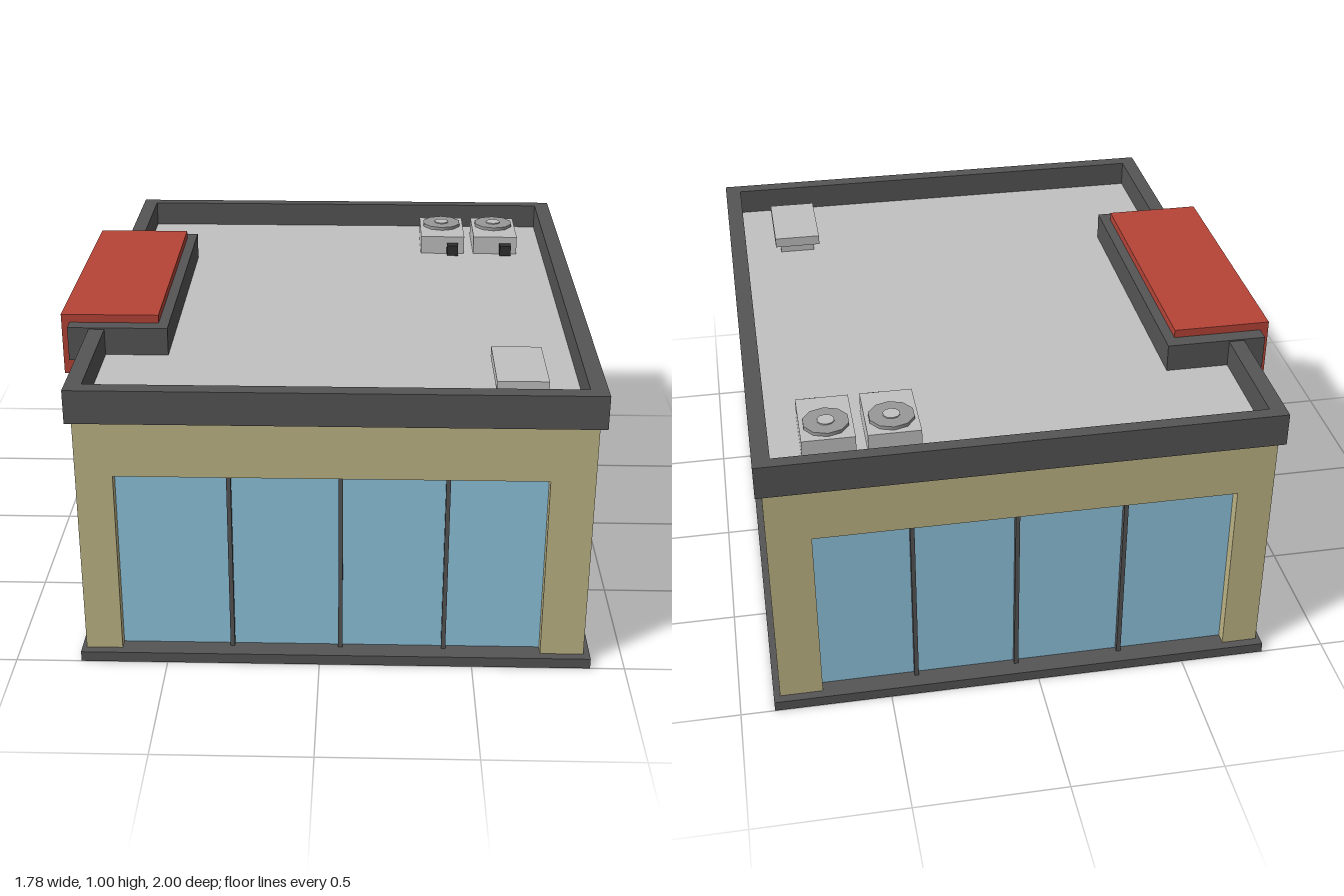
import * as THREE from 'three';

const mat = (name, color) => {
  const m = new THREE.MeshStandardMaterial({ color });
  m.name = name;
  return m;
};

export function createModel() {
  const tan = mat('tan wall', 0xbfb586);
  const dark = mat('dark trim', 0x555555);
  const glass = mat('blue glass', 0x8ec5df);
  const red = mat('red sign', 0xb64437);
  const grey = mat('roof grey', 0xc1c1c1);
  const midGrey = mat('fan grey', 0x989898);
  const white = mat('sign panel white', 0xe4e4e4);
  const black = mat('black fittings', 0x2f2f2f);

  const model = new THREE.Group();
  model.name = 'shopBuilding';

  // Box given by its extents on each axis
  const box = (name, m, x0, x1, y0, y1, z0, z1, parent = model) => {
    const mesh = new THREE.Mesh(new THREE.BoxGeometry(x1 - x0, y1 - y0, z1 - z0), m);
    mesh.position.set((x0 + x1) / 2, (y0 + y1) / 2, (z0 + z1) / 2);
    mesh.name = name;
    parent.add(mesh);
    return mesh;
  };

  // Floor slab
  const floorY = 0.035, headY = 0.668, wallTop = 0.88;
  box('floorSlab', dark, -0.785, 0.888, 0, floorY, -1, 1);

  // Corner pillars
  const X0 = -0.77, X1 = 0.867, Z0 = -0.97, Z1 = 0.97;
  const wx0 = -0.651, wx1 = 0.725, wz0 = -0.89, wz1 = 0.875;
  for (const [a, b] of [[X0, wx0], [wx1, X1]])
    for (const [c, d] of [[Z0, wz0], [wz1, Z1]])
      box('cornerPillar', tan, a, b, floorY, headY, c, d);

  // Lintels above the openings
  box('frontLintel', tan, X0, X1, headY, wallTop, wz1, Z1);
  box('backLintel', tan, X0, X1, headY, wallTop, Z0, wz0);
  box('leftLintel', tan, wx1, X1, headY, wallTop, wz0, wz1);
  box('rightLintel', tan, X0, wx0, headY, wallTop, wz0, wz1);

  // Front and back windows, set back in their openings
  const inset = 0.045, proud = 0.025, t = 0.007;
  for (const [name, face, s] of [['front', Z1, 1], ['back', Z0, -1]]) {
    const z = face - s * inset, pz = z + s * proud;
    box(name + 'Glass', glass, wx0, wx1, floorY, headY, z - 0.005, z + 0.005);
    for (const x of [-0.288, 0.068, 0.408])
      box(name + 'Mullion', dark, x - t, x + t, floorY, headY, Math.min(z, pz), Math.max(z, pz));
  }

  // Left side window
  const lx = X1 - inset;
  box('leftGlass', glass, lx - 0.005, lx + 0.005, floorY, headY, wz0, wz1);
  for (const z of [0.535, 0.005, -0.54])
    box('leftMullion', dark, lx, lx + proud, floorY, headY, z - t, z + t);

  // Right side: window towards the back, recessed entrance towards the front
  const rx = X0 + inset;
  box('rightGlass', glass, rx - 0.005, rx + 0.005, floorY, headY, wz0, -0.2);
  for (const z of [-0.555, -0.2])
    box('rightMullion', dark, rx - proud, rx, floorY, headY, z - t, z + t);
  box('entranceWall', tan, wx0, wx0 + 0.02, floorY, headY, -0.2, wz1);
  for (const z of [-0.135, 0.175, 0.52])
    box('entranceFin', dark, X0 + 0.005, wx0, floorY, headY, z - 0.01, z + 0.01);
  box('doorHandle', dark, X0, X0 + 0.02, 0.3, 0.41, -0.155, -0.115);

  // Roof deck
  box('roofDeck', grey, -0.74, 0.84, 0.86, 0.881, -0.955, 0.945);

  // Parapet, open underneath where it overhangs the walls
  const px0 = -0.788, px1 = 0.888, pz = 0.994;
  for (const [name, a, b, c, d] of [
    ['backParapet', px0, px1, -pz, -0.95], ['frontParapet', px0, px1, 0.942, pz],
    ['rightParapet', px0, -0.735, -0.95, 0.942], ['leftParapet', 0.832, px1, -0.95, 0.942]]) {
    const geo = box(name, dark, a, b, 0.86, 0.972, c, d).geometry;
    const faces = Array.from(geo.index.array);
    faces.splice(18, 6);
    geo.setIndex(faces);
    geo.clearGroups();
  }

  // Sign over the entrance
  const sign = new THREE.Group();
  sign.name = 'entranceSign';
  model.add(sign);
  const s0 = -0.477, s1 = 0.433;
  box('signMount', dark, -0.86, -0.523, 0.86, 0.977, -0.528, 0.483, sign);
  box('signTop', red, -0.888, -0.558, 0.972, 1.005, s0, s1, sign);
  box('signBody', red, -0.882, X0, 0.79, 0.98, s0, s1, sign);
  box('signBottomRim', red, -0.888, -0.88, 0.79, 0.825, s0, s1, sign);
  for (const z of [s0, s1 - 0.045])
    box('signSideRim', red, -0.888, -0.88, 0.79, 0.98, z, z + 0.045, sign);
  box('signPanel', white, -0.886, -0.88, 0.825, 0.972, s0 + 0.045, s1 - 0.045, sign);

  // Rooftop cooling units
  for (const x of [0.44, 0.647]) {
    const unit = new THREE.Group();
    unit.name = 'coolingUnit';
    model.add(unit);
    box('unitBox', grey, x - 0.085, x + 0.085, 0.88, 0.95, -0.845, -0.6, unit);
    box('unitPipe', black, x + 0.017, x + 0.06, 0.885, 0.925, -0.6, -0.56, unit);
    for (const [name, m, r, h] of [['fanRing', midGrey, 0.075, 0.012], ['fanHub', grey, 0.028, 0.016]]) {
      const fan = new THREE.Mesh(new THREE.CylinderGeometry(r, r, h, 10), m);
      fan.position.set(x, 0.95 + h / 2, -0.755);
      fan.name = name;
      unit.add(fan);
    }
  }

  // Roof hatch
  box('hatchPlinth', grey, 0.575, 0.7, 0.88, 0.915, 0.57, 0.81);
  box('hatchLid', grey, 0.555, 0.72, 0.915, 0.95, 0.545, 0.835);

  return model;
}
